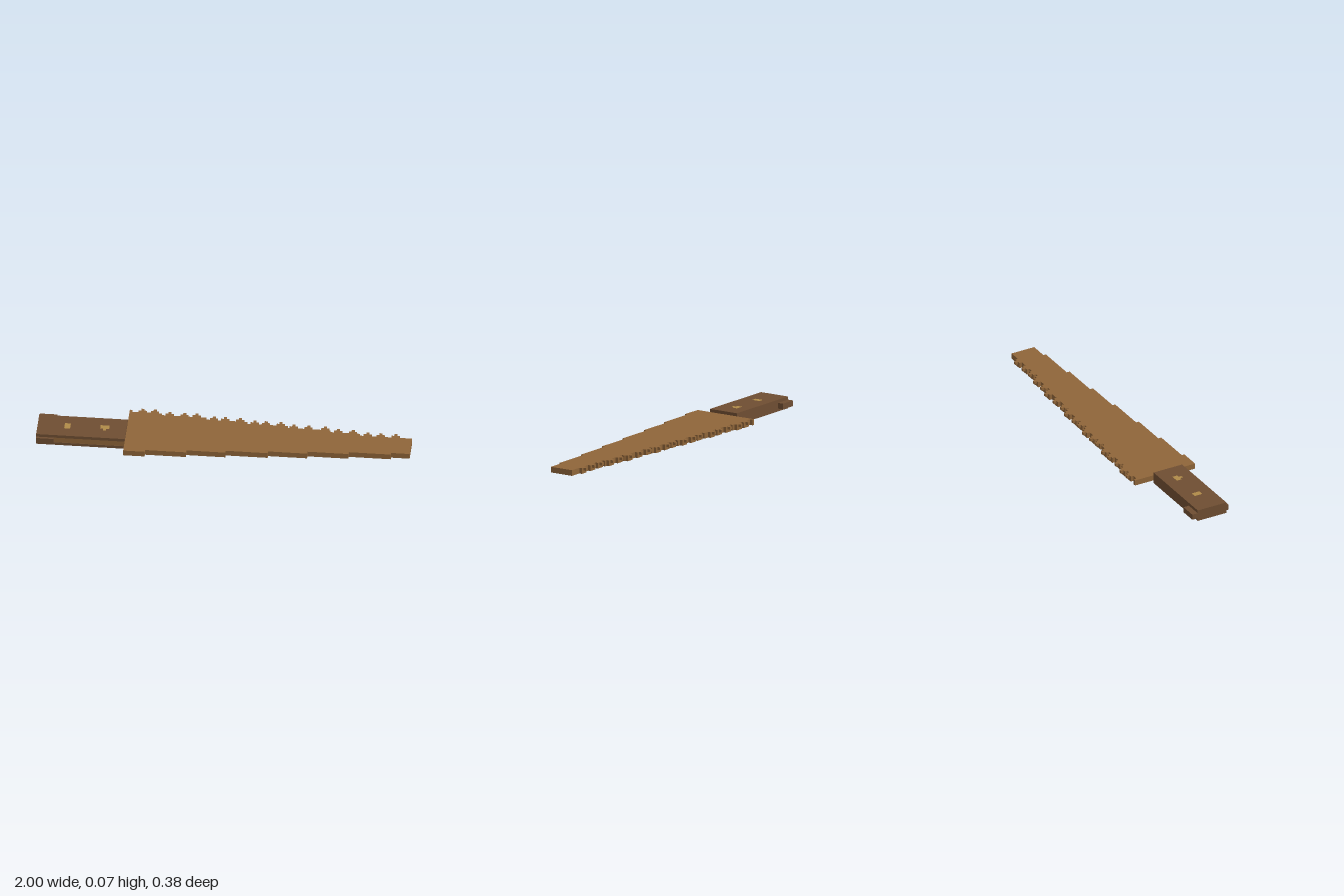
import * as THREE from 'three';

const bladeMat = new THREE.MeshStandardMaterial({ color: 0x8f6539 });
bladeMat.name = 'blade brown';
const handleMat = new THREE.MeshStandardMaterial({ color: 0x6f4e32 });
handleMat.name = 'handle brown';
const pinMat = new THREE.MeshStandardMaterial({ color: 0xb08b48 });
pinMat.name = 'pin gold';

// Blade layer heights: bottom, middle, top
const Y0 = 0.017, YM = 0.033, Y1 = 0.048;

// Box given by its minimum and maximum on each axis
function block(name, mat, x0, x1, y0, y1, z0, z1) {
  const mesh = new THREE.Mesh(new THREE.BoxGeometry(x1 - x0, y1 - y0, z1 - z0), mat);
  mesh.position.set((x0 + x1) / 2, (y0 + y1) / 2, (z0 + z1) / 2);
  mesh.name = name;
  return mesh;
}

// Stepped edges: [end x, z]
const frontSteps = [[-0.41, 0.192], [-0.19, 0.176], [0.02, 0.158], [0.245, 0.141],
  [0.455, 0.125], [0.675, 0.107], [0.9, 0.09], [1, 0.075]];
const backSteps = [[-0.51, -0.177], [-0.35, -0.16], [-0.11, -0.145], [0.11, -0.128],
  [0.33, -0.112], [0.56, -0.096], [0.72, -0.08], [1, -0.064]];

function createBlade() {
  const points = [];
  let x = -0.525;
  for (const [end, z] of frontSteps) {
    points.push(new THREE.Vector2(x, z), new THREE.Vector2(end, z));
    x = end;
  }
  const back = [];
  x = -0.525;
  for (const [end, z] of backSteps) {
    back.push(new THREE.Vector2(x, z), new THREE.Vector2(end, z));
    x = end;
  }
  points.push(...back.reverse());
  const geo = new THREE.ExtrudeGeometry(new THREE.Shape(points), { depth: Y1 - Y0, bevelEnabled: false });
  geo.rotateX(Math.PI / 2).translate(0, Y1, 0);
  const mesh = new THREE.Mesh(geo, bladeMat);
  mesh.name = 'blade';
  return mesh;
}

// Saw teeth: a wide root with a narrow half-height point
function createTeeth() {
  const teeth = new THREE.Group();
  teeth.name = 'teeth';
  const centres = [-0.455, -0.39, -0.31, -0.23, -0.165, -0.07, -0.01, 0.07, 0.15, 0.21,
    0.29, 0.36, 0.44, 0.53, 0.6, 0.68, 0.76, 0.83, 0.91];
  for (const x of centres) {
    const z = backSteps.find(([end]) => x < end)[1];
    teeth.add(block('toothRoot', bladeMat, x - 0.022, x + 0.022, Y0, Y1, z - 0.016, z));
    teeth.add(block('toothPoint', bladeMat, x - 0.008, x + 0.008, YM, Y1, z - 0.032, z - 0.016));
  }
  return teeth;
}

function createHandle() {
  const handle = new THREE.Group();
  handle.name = 'handle';
  // Two scales, closed at the back, with the tang showing at the front
  handle.add(block('lowerScale', handleMat, -1, -0.525, 0.001, Y0, -0.064, 0.112));
  handle.add(block('upperScale', handleMat, -1, -0.525, Y1, 0.065, -0.064, 0.112));
  handle.add(block('handleBack', handleMat, -1, -0.525, Y0, Y1, -0.064, -0.04));
  handle.add(block('tang', bladeMat, -0.905, -0.525, Y0, Y1, -0.04, 0.109));
  // Pommel bar sticking out on both sides
  handle.add(block('pommel', handleMat, -1, -0.905, Y0, Y1, -0.097, 0.125));
  // Pins on both faces
  for (const [y0, y1] of [[0.064, 0.0655], [0, 0.002]]) {
    handle.add(block('rearPin', pinMat, -0.856, -0.824, y0, y1, 0, 0.046));
    handle.add(block('frontPin', pinMat, -0.664, -0.616, y0, y1, 0, 0.03));
    handle.add(block('frontPinFoot', pinMat, -0.648, -0.632, y0, y1, 0.03, 0.046));
  }
  return handle;
}

export function createModel() {
  const model = new THREE.Group();
  model.name = 'sawKnife';
  model.add(createBlade(), createTeeth(), createHandle());
  return model;
}
